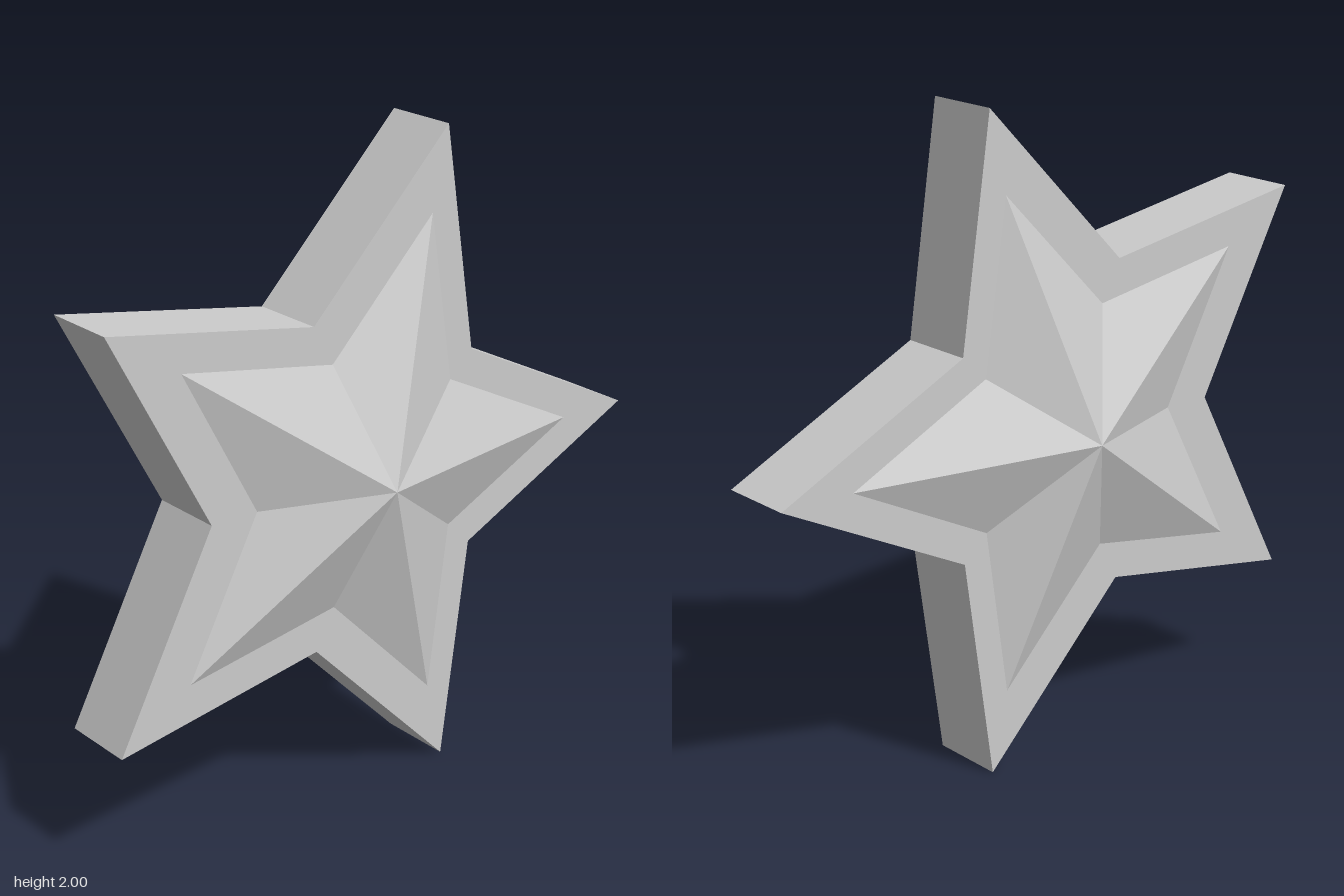
import * as THREE from 'three';

const HALF = 0.12;   // half thickness of the slab
const APEX = 0.26;   // height of the faceted centre

// Ten corners of a five-pointed star, one tip along +x, counter-clockwise
function starPoints(radius, cx) {
  return Array.from({ length: 10 }, (_, i) => {
    const r = i % 2 ? radius / 2 : radius;
    const a = (i * Math.PI) / 5;
    return new THREE.Vector2(cx + r * Math.cos(a), r * Math.sin(a));
  });
}

// Faceted star rising from z = 0 to a central peak
function facetGeometry(points, cx, height) {
  const pos = [];
  points.forEach((p, i) => {
    const q = points[(i + 1) % points.length];
    pos.push(p.x, p.y, 0, q.x, q.y, 0, cx, 0, height);
  });
  const geo = new THREE.BufferGeometry();
  geo.setAttribute('position', new THREE.Float32BufferAttribute(pos, 3));
  geo.computeVertexNormals();
  return geo;
}

export function createModel() {
  const group = new THREE.Group();
  group.name = 'star';
  const material = new THREE.MeshStandardMaterial({ color: 0xcccccc, flatShading: true });

  // Flat star slab
  const slabGeo = new THREE.ExtrudeGeometry(new THREE.Shape(starPoints(1.0515, -0.1)), {
    depth: 2 * HALF, bevelEnabled: false,
  });
  slabGeo.translate(0, 1, -HALF);
  const slab = new THREE.Mesh(slabGeo, material);
  slab.name = 'starSlab';
  group.add(slab);

  // Raised facets on the front and back; the star is symmetric about its x axis
  const facets = facetGeometry(starPoints(0.7886, -0.075), -0.075, APEX - HALF);
  for (const side of [1, -1]) {
    const mesh = new THREE.Mesh(facets, material);
    mesh.name = side > 0 ? 'frontFacets' : 'backFacets';
    mesh.position.set(0, 1, side * HALF);
    if (side < 0) mesh.rotation.x = Math.PI;
    group.add(mesh);
  }
  return group;
}
